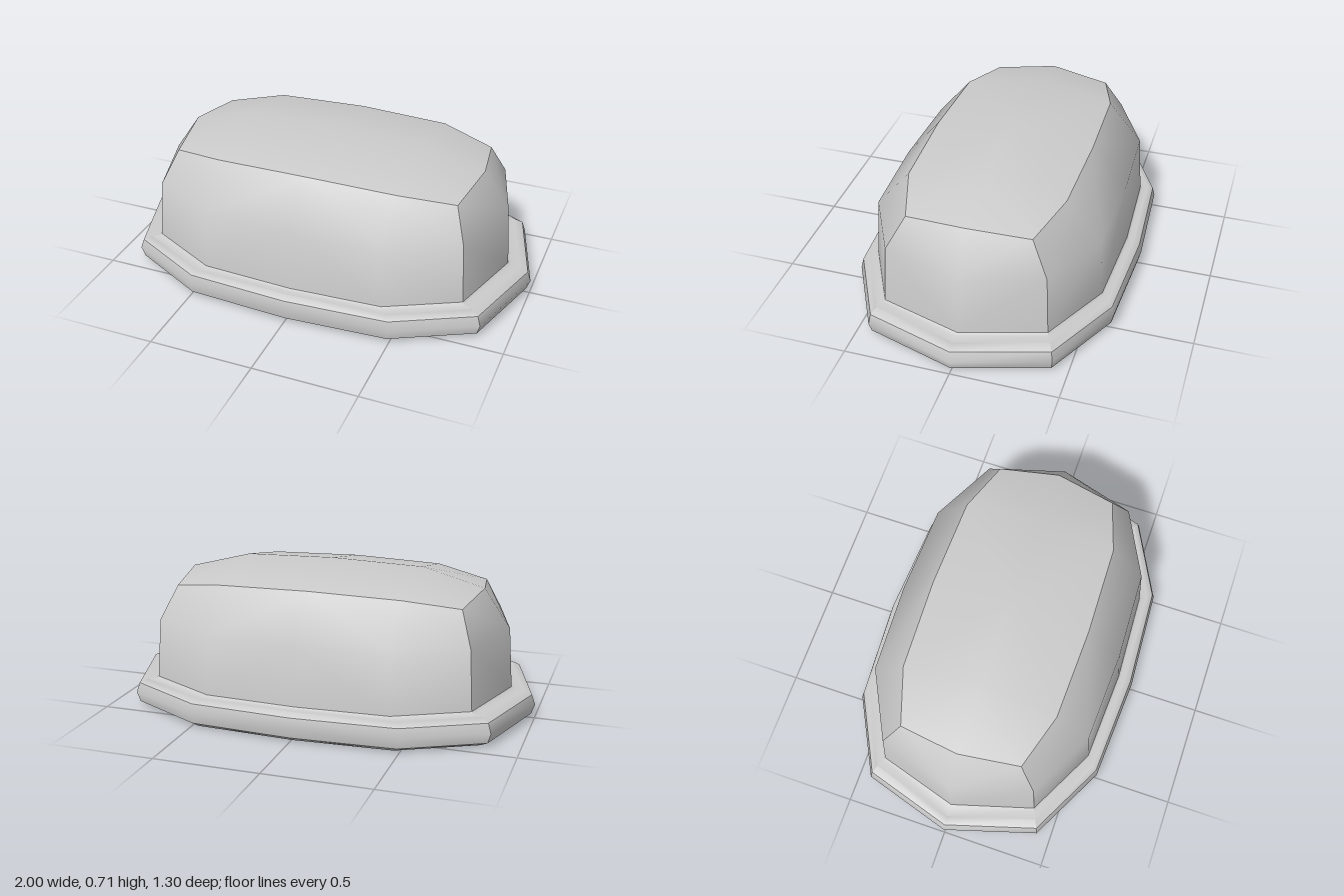
import * as THREE from 'three';
import { mergeGeometries, mergeVertices } from 'three/addons/utils/BufferGeometryUtils.js';

// The dome is a thin open shell, seen from inside too
const grey = new THREE.MeshStandardMaterial({ color: 0xcccccc, side: THREE.DoubleSide });

// Quarter outlines [x, z], from the end (+x) round to the middle of the front (+z)
const domeBase = [[0.885, 0], [0.772, 0.385], [0.44, 0.555], [0, 0.577]];
const rimOuter = [[1, 0], [0.87, 0.432], [0.5, 0.623], [0, 0.652]];

// Column ranges: four panels meeting at sharp corners, or one smooth loop
const PANELS = [[-1, 1], [1, 5], [5, 7], [7, 11]];
const LOOP = [[0, 12]];

// Mirror a quarter of [x, y, z] points into a closed ring of twelve
function ring([end, corner, side, mid]) {
  const flip = (p, sx, sz) => new THREE.Vector3(p[0] * sx, p[1], p[2] * sz);
  return [
    flip(end, 1, 1), flip(corner, 1, 1), flip(side, 1, 1), flip(mid, 1, 1),
    flip(side, -1, 1), flip(corner, -1, 1), flip(end, -1, 1),
    flip(corner, -1, -1), flip(side, -1, -1), flip(mid, 1, -1),
    flip(side, 1, -1), flip(corner, 1, -1),
  ];
}

// Outline between the dome base (t = 0) and the rim edge (t = 1) at height y
const outline = ([t, y]) => domeBase.map(([x, z], i) => [
  THREE.MathUtils.lerp(x, rimOuter[i][0], t), y,
  THREE.MathUtils.lerp(z, rimOuter[i][1], t),
]);

// Smooth skin over quarter rings for each column range, sharp between ranges
function skin(quarters, ranges) {
  const rings = quarters.map(ring);
  return mergeGeometries(ranges.map(([from, to]) => {
    const pos = [];
    const tri = (a, b, c) => {
      if (new THREE.Triangle(a, b, c).getArea() < 1e-6) return;
      for (const p of [a, b, c]) pos.push(p.x, p.y, p.z);
    };
    for (let k = 0; k + 1 < rings.length; k++) {
      for (let col = from; col < to; col++) {
        const i = (col + 12) % 12, j = (i + 1) % 12;
        const a = rings[k][i], b = rings[k][j], c = rings[k + 1][j], d = rings[k + 1][i];
        // Diagonals mirror from quarter to quarter
        if (Math.floor(i / 3) % 2) {
          tri(a, d, b);
          tri(d, c, b);
        } else {
          tri(a, d, c);
          tri(a, c, b);
        }
      }
    }
    const geo = new THREE.BufferGeometry();
    geo.setAttribute('position', new THREE.Float32BufferAttribute(pos, 3));
    const welded = mergeVertices(geo, 1e-4);
    welded.computeVertexNormals();
    return welded;
  }));
}

function part(name, skins) {
  const mesh = new THREE.Mesh(mergeGeometries(skins), grey);
  mesh.name = name;
  return mesh;
}

export function createModel() {
  const group = new THREE.Group();
  group.name = 'dishCover';

  // Dome: four curved walls, then a cap closing on a ridge line
  const shoulder = [[0.74, 0.615, 0], [0.695, 0.585, 0.29], [0.435, 0.625, 0.372], [0, 0.635, 0.385]];
  const walls = [
    outline([0, 0.145]),
    [[0.865, 0.43, 0], [0.755, 0.43, 0.372], [0.435, 0.43, 0.535], [0, 0.43, 0.553]],
    shoulder,
  ];
  const ridgeEnd = [0.44, 0.695, 0];
  const cap = [shoulder, [ridgeEnd, ridgeEnd, ridgeEnd, [0, 0.707, 0]]];
  group.add(part('dome', [skin(walls, PANELS), skin(cap, LOOP)]));

  // Flange: small step at the foot of the dome, resting on the rim
  const flange = [[0.5, 0.135], [0.12, 0.135], [0, 0.145]].map(outline);
  group.add(part('flange', [skin(flange, PANELS)]));

  // Rim: an eight-sided tube around the foot, in four two-facet bands
  const tubePoint = (step) => {
    const a = step * Math.PI / 4;
    return outline([0.5 + 0.5 * Math.cos(a), 0.0675 + 0.0675 * Math.sin(a)]);
  };
  const bands = [-1, 1, 3, 5].map((s) => [s, s + 1, s + 2].map(tubePoint));
  group.add(part('rim', bands.map((band) => skin(band, PANELS))));

  return group;
}
